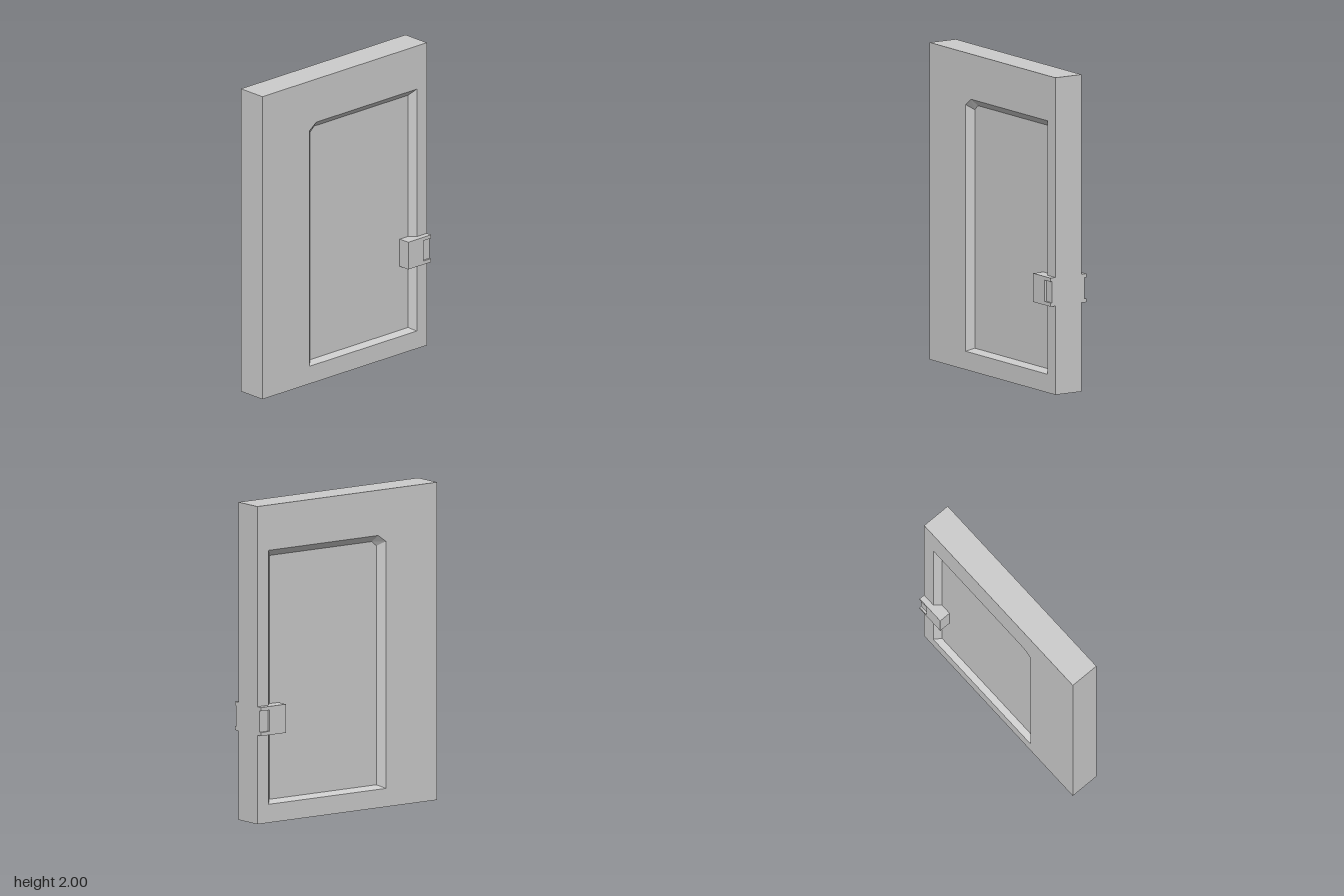
import * as THREE from 'three';

const W = 0.70, H = 2, Z = 0.097;        // slab half width, height, half thickness
const FLOOR = Z - 0.04;                  // recessed panel level
const GRIP = 0.134;                      // outer face of the handle

const slabLoop = [[-W, 0], [W, 0], [W, H], [-W, H]];
const outerLoop = [[-0.30, 0.116], [0.614, 0.116], [0.614, 1.715], [-0.24, 1.715], [-0.30, 1.672]];
const innerLoop = [[-0.257, 0.138], [0.577, 0.138], [0.577, 1.673], [-0.222, 1.673], [-0.257, 1.642]];

const material = new THREE.MeshStandardMaterial({ color: 0xcccccc, flatShading: true });

function add(parent, geometry, name) {
  const mesh = new THREE.Mesh(geometry, material);
  mesh.name = name;
  parent.add(mesh);
}

// Mirror a counter-clockwise loop in x while keeping it counter-clockwise
const mirrored = (loop) => loop.map(([x, y]) => [-x, y]).reverse();
const toVectors = (loop) => loop.map(([x, y]) => new THREE.Vector2(x, y));

// Band of flat quads between two loops at different depths
function band(a, za, b, zb) {
  const pos = [];
  a.forEach((p, i) => {
    const j = (i + 1) % a.length;
    const a0 = [...p, za], a1 = [...a[j], za], b0 = [...b[i], zb], b1 = [...b[j], zb];
    pos.push(...a0, ...a1, ...b1, ...a0, ...b1, ...b0);
  });
  const g = new THREE.BufferGeometry();
  g.setAttribute('position', new THREE.Float32BufferAttribute(pos, 3));
  g.computeVertexNormals();
  return g;
}

// One face of the door, facing +z, with its panel and handle
function doorSide(mirror) {
  const side = new THREE.Group();
  const m = mirror ? -1 : 1;
  const use = (loop) => (mirror ? mirrored(loop) : loop);

  // Surround with the panel opening
  const surround = new THREE.Shape(toVectors(slabLoop));
  surround.holes.push(new THREE.Path(toVectors(use(outerLoop))));
  add(side, new THREE.ShapeGeometry(surround).translate(0, 0, Z), 'surround');

  // Sloped recess border and sunken panel
  add(side, band(use(outerLoop), Z, use(innerLoop), FLOOR), 'recessBevel');
  add(side, new THREE.ShapeGeometry(new THREE.Shape(toVectors(use(innerLoop)))).translate(0, 0, FLOOR), 'panel');

  // Handle: foot in the recess, block, and a cover notched open at the door edge
  const handle = new THREE.Group();
  handle.name = 'handle';
  const x0 = 0.506, y0 = 0.56, y1 = 0.74, notchZ = GRIP - 0.013;
  const block = (xa, xb, za, zb, name) => add(handle,
    new THREE.BoxGeometry(xb - xa, y1 - y0, zb - za)
      .translate(m * (xa + xb) / 2, (y0 + y1) / 2, (za + zb) / 2), name);
  block(x0, 0.614, FLOOR, Z, 'handleFoot');
  block(x0, W, Z, notchZ, 'handleBlock');
  const cover = use([[x0, y0], [W, y0], [W, 0.583], [0.635, 0.583],
    [0.635, 0.717], [W, 0.717], [W, y1], [x0, y1]]);
  add(handle, new THREE.ExtrudeGeometry(new THREE.Shape(toVectors(cover)),
    { depth: GRIP - notchZ, bevelEnabled: false }).translate(0, 0, notchZ), 'handleCover');
  side.add(handle);
  return side;
}

export function createModel() {
  const door = new THREE.Group();
  door.name = 'door';

  // Outer edges of the slab
  add(door, band(slabLoop, -Z, slabLoop, Z), 'slabEdges');

  const front = doorSide(false);
  front.name = 'frontSide';
  const back = doorSide(true);
  back.name = 'backSide';
  back.rotation.y = Math.PI;
  door.add(front, back);
  return door;
}
